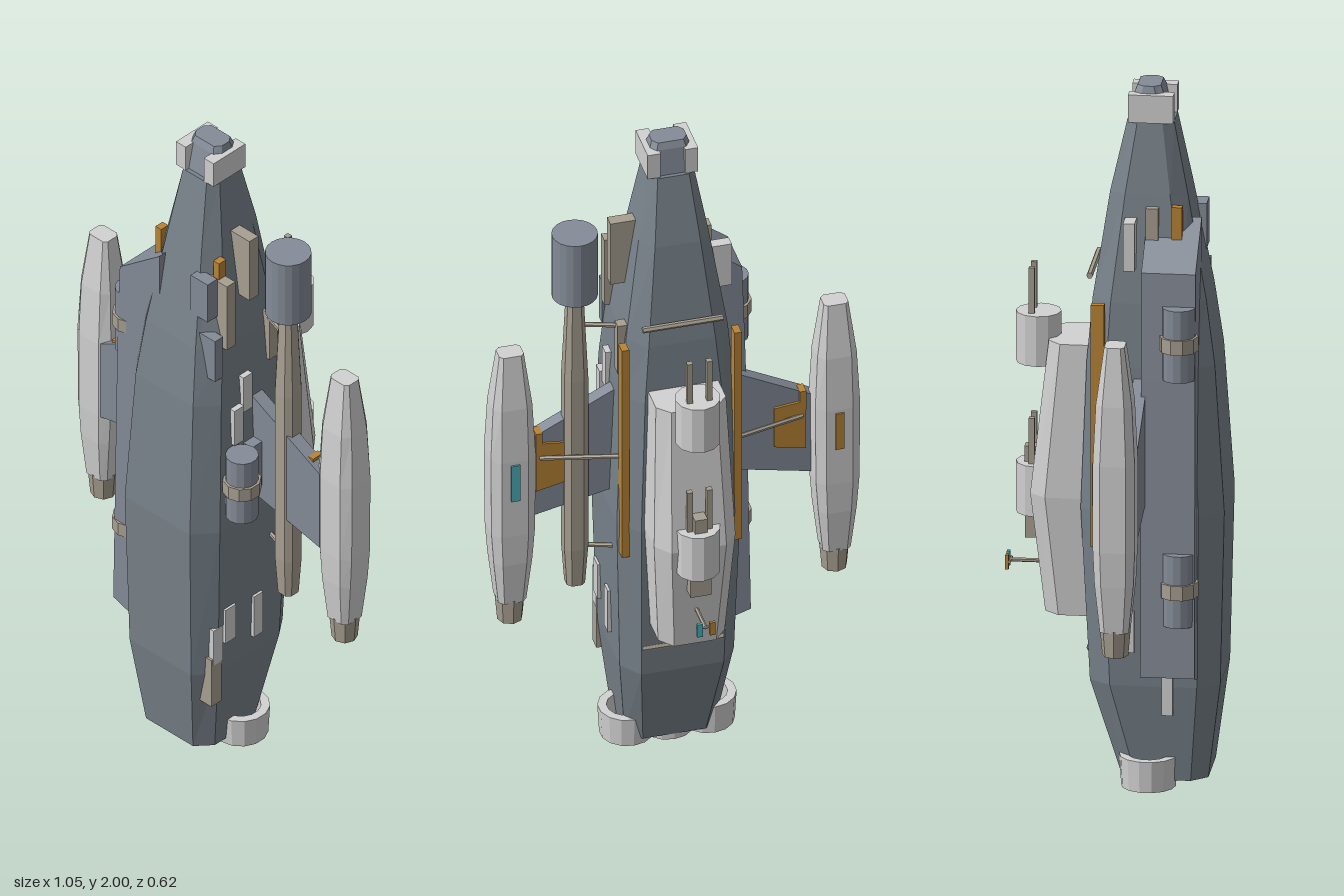
import * as THREE from 'three';

const mat = (name, color) => {
  const m = new THREE.MeshStandardMaterial({ color });
  m.name = name;
  return m;
};

export function createModel() {
  const ship = new THREE.Group();
  ship.name = 'spaceship';
  const hullGrey = mat('hull grey', 0x78828a);
  const panelGrey = mat('panel grey', 0x858c98);
  const white = mat('off white', 0xd2d2d2);
  const beige = mat('warm beige', 0xa8a092);
  const orange = mat('orange', 0xb98535);
  const teal = mat('teal', 0x4fb0bd);

  // Adds a faceted mesh
  const add = (name, geo, material, x = 0, y = 0, z = 0) => {
    const g = geo.index ? geo.toNonIndexed() : geo;
    g.computeVertexNormals();
    const mesh = new THREE.Mesh(g, material);
    mesh.name = name;
    mesh.position.set(x, y, z);
    ship.add(mesh);
    return mesh;
  };
  // Box given by its min and max on each axis
  const box = (name, m, x0, x1, y0, y1, z0, z1) =>
    add(name, new THREE.BoxGeometry(Math.abs(x1 - x0), y1 - y0, z1 - z0), m, (x0 + x1) / 2, (y0 + y1) / 2, (z0 + z1) / 2);
  const cyl = (name, m, r0, r1, y0, y1, x, z, sides = 12) =>
    add(name, new THREE.CylinderGeometry(r1, r0, y1 - y0, sides), m, x, (y0 + y1) / 2, z);
  const rod = (name, m, a, b, r) => {
    const p = new THREE.Vector3(...a), q = new THREE.Vector3(...b);
    const mesh = add(name, new THREE.CylinderGeometry(r, r, p.distanceTo(q), 6), m);
    mesh.position.copy(p).add(q).multiplyScalar(0.5);
    mesh.quaternion.setFromUnitVectors(new THREE.Vector3(0, 1, 0), q.sub(p).normalize());
  };
  // Skin between rings of [x, z] stacked along y, closed at both ends
  const loft = (ys, rings) => {
    const pos = [], n = rings[0].length;
    const put = (k, i) => pos.push(rings[k][i % n][0], ys[k], rings[k][i % n][1]);
    for (let k = 0; k < ys.length - 1; k++)
      for (let i = 0; i < n; i++) {
        put(k, i); put(k, i + 1); put(k + 1, i + 1);
        put(k, i); put(k + 1, i + 1); put(k + 1, i);
      }
    const top = ys.length - 1;
    for (let i = 1; i < n - 1; i++) {
      put(0, 0); put(0, i + 1); put(0, i);
      put(top, 0); put(top, i); put(top, i + 1);
    }
    const g = new THREE.BufferGeometry();
    g.setAttribute('position', new THREE.Float32BufferAttribute(pos, 3));
    return g;
  };
  // Chamfered rectangle: half width, flat half width, front, back, chamfer depth
  const octagon = (w, f, zf, zb, c) => [
    [w, zf - c], [w, zb + c], [f, zb], [-f, zb], [-w, zb + c], [-w, zf - c], [-f, zf], [f, zf]];
  const octLoft = rows => loft(rows.map(r => r[0]), rows.map(r => octagon(...r.slice(1))));

  // Main hull
  add('hull', octLoft([
    [0.02, 0.13, 0.09, 0.26, 0.02, 0.045],
    [0.3, 0.163, 0.118, 0.296, -0.065, 0.06],
    [0.8, 0.177, 0.125, 0.308, -0.09, 0.065],
    [1.22, 0.16, 0.11, 0.28, -0.075, 0.06],
    [1.4, 0.145, 0.095, 0.255, -0.06, 0.055],
    [1.7, 0.1, 0.065, 0.2, -0.015, 0.045],
    [1.9, 0.066, 0.045, 0.16, 0.03, 0.03]]), hullGrey);
  add('noseCap', octLoft([
    [1.89, 0.062, 0.042, 0.15, 0.04, 0.03],
    [1.98, 0.056, 0.042, 0.13, 0.05, 0.02],
    [2.0, 0.05, 0.036, 0.122, 0.058, 0.018]]), panelGrey);

  // Hollow main engines
  const ring = (name, m, r0, r1, ri, h, x, y, z, sides) =>
    add(name, new THREE.LatheGeometry([[ri, 0], [r0, 0], [r1, h], [ri, h], [ri, 0]]
      .map(p => new THREE.Vector2(...p)), sides), m, x, y, z);
  for (const x of [-0.115, 0, 0.115]) ring('mainEngine', white, 0.076, 0.081, 0.056, 0.09, x, 0, 0.097, 14);

  // Parts found on both sides
  for (const s of [-1, 1]) {
    box('noseClamp', white, s * 0.035, s * 0.072, 1.9, 1.98, 0.035, 0.16);

    const nacelle = octLoft([
      [0.56, 0.04, 0.026, 0.04, -0.04, 0.014],
      [0.7, 0.055, 0.034, 0.054, -0.054, 0.02],
      [0.8, 0.062, 0.038, 0.058, -0.058, 0.022],
      [1.05, 0.064, 0.038, 0.058, -0.058, 0.022],
      [1.22, 0.056, 0.036, 0.05, -0.05, 0.02],
      [1.385, 0.035, 0.025, 0.028, -0.028, 0.01]]);
    add('nacelle', nacelle, white, s * 0.463, 0, 0.045);
    ring('nacelleEngine', beige, 0.036, 0.043, 0.026, 0.08, s * 0.463, 0.487, 0.045, 8);
    box('nacelleLight', s > 0 ? teal : orange, s * 0.45, s * 0.475, 0.92, 1.04, -0.018, -0.01);

    // Pylon, swept on top and bottom
    const shape = new THREE.Shape([[0.1, 0.87], [0.42, 0.8], [0.42, 1.055], [0.1, 1.22]]
      .map(([x, y]) => new THREE.Vector2(s * x, y)));
    add('pylon', new THREE.ExtrudeGeometry(shape, { depth: 0.04, bevelEnabled: false }), panelGrey, 0, 0, 0.06);
    const plate = new THREE.Shape([[0.295, 0.91], [0.385, 0.89], [0.385, 1.05], [0.295, 1.04]]
      .map(([x, y]) => new THREE.Vector2(s * x, y)));
    add('pylonPlate', new THREE.ExtrudeGeometry(plate, { depth: 0.007, bevelEnabled: false }), orange, 0, 0, 0.053);
    box('pylonClip', orange, s * 0.367, s * 0.386, 1.02, 1.083, 0.053, 0.09);
    rod('pylonStrut', beige, [s * 0.15, 1.02, -0.025], [s * 0.375, 1.0, 0.055], 0.007);
    box('hullStrip', orange, s * 0.15, s * 0.171, 0.7, 1.4, -0.057, -0.02);
    box('marker', orange, s * 0.1, s * 0.122, 1.58, 1.675, 0.162, 0.19);
  }

  // Flank module on the right side
  const flank = new THREE.Shape([[-0.06, 1.63], [-0.212, 1.512], [-0.222, 1.2], [-0.237, 0.35], [-0.16, 0.325], [-0.06, 0.4]]
    .map(p => new THREE.Vector2(...p)));
  add('flankModule', new THREE.ExtrudeGeometry(flank, { depth: 0.15, bevelEnabled: false }), panelGrey, 0, 0, 0.088);

  // Small canisters with collars
  for (const [x, y] of [[-0.212, 1.21], [-0.212, 0.5], [0.212, 0.855]]) {
    cyl('canister', panelGrey, 0.046, 0.046, y, y + 0.208, x, 0.192, 14);
    cyl('canisterCollar', beige, 0.054, 0.054, y + 0.083, y + 0.125, x, 0.192, 10);
    box('canisterMount', beige, x * 0.6, x, y + 0.083, y + 0.125, 0.155, 0.19);
  }

  // Side boom with tank
  add('boom', octLoft([
    [0.555, 0.026, 0.014, 0.026, -0.026, 0.012],
    [0.68, 0.034, 0.018, 0.034, -0.034, 0.016],
    [1.25, 0.034, 0.018, 0.034, -0.034, 0.016],
    [1.53, 0.022, 0.012, 0.022, -0.022, 0.01]]), beige, 0.271, 0, 0.07);
  cyl('boomTank', panelGrey, 0.064, 0.064, 1.525, 1.732, 0.271, 0.07, 20);
  for (const y of [0.68, 1.425]) rod('boomStrut', beige, [0.12, y, 0.02], [0.26, y, 0.065], 0.007);

  // Back module
  const back = (w, f, zc, zb) => [[w, -0.06], [w, zc], [f, zb], [-f, zb], [-w, zc], [-w, -0.06]];
  add('backModule', loft([0.475, 0.82, 1.26], [
    back(0.095, 0.06, -0.155, -0.195), back(0.116, 0.078, -0.19, -0.235), back(0.1, 0.065, -0.15, -0.185)]), white);
  for (const y of [0.39, 1.467]) rod('backRail', beige, [-0.115, y, -0.066], [0.115, y, -0.066], 0.009);

  // Twin barrel turrets
  for (const y of [0.745, 1.18]) {
    cyl('turret', white, 0.063, 0.063, y, y + 0.145, 0, -0.22, 12);
    for (const x of [-0.028, 0.028]) box('turretBarrel', beige, x - 0.008, x + 0.008, y + 0.14, y + 0.277, -0.244, -0.228);
  }
  box('turretBase', beige, -0.03, 0.03, 0.675, 0.75, -0.255, -0.2);
  box('turretBlock', beige, -0.018, 0.018, 0.88, 0.935, -0.258, -0.2);

  // Rear antenna
  rod('antenna', beige, [0, 0.6, -0.19], [0, 0.6, -0.3], 0.006);
  rod('antennaBar', beige, [-0.025, 0.6, -0.298], [0.025, 0.6, -0.298], 0.004);
  box('antennaLight', orange, -0.026, -0.01, 0.578, 0.62, -0.31, -0.301);
  box('antennaLight', teal, 0.01, 0.026, 0.578, 0.62, -0.31, -0.301);

  // Hull fittings: material, x0, x1, y0, y1, z0, z1
  const fittings = [
    [beige, 0.08, 0.166, 1.53, 1.735, 0.08, 0.115], [beige, 0.08, 0.16, 1.4, 1.62, 0.165, 0.198],
    [beige, 0.1, 0.166, 0.2, 0.36, 0.225, 0.265], [beige, 0.1, 0.166, 1.28, 1.44, 0.005, 0.036],
    [panelGrey, 0.08, 0.155, 1.31, 1.45, 0.208, 0.24], [panelGrey, 0.06, 0.125, 1.5, 1.63, 0.2, 0.238],
    [white, 0.1, 0.168, 0.34, 0.46, 0.222, 0.258], [white, 0.1, 0.176, 0.4, 0.515, 0.178, 0.22],
    [white, 0.1, 0.176, 0.36, 0.5, 0.072, 0.108], [white, 0.1, 0.178, 1.07, 1.19, 0.15, 0.186],
    [white, 0.1, 0.172, 1.16, 1.28, 0.11, 0.145], [panelGrey, 0.12, 0.2, 0.9, 1.05, 0.1, 0.14],
    [white, -0.08, -0.167, 1.5, 1.638, 0.032, 0.064], [white, -0.1, -0.172, 0.22, 0.36, 0.14, 0.17],
    [white, -0.1, -0.176, 0.4, 0.52, 0.03, 0.064], [beige, -0.06, -0.125, 1.56, 1.67, 0.09, 0.125],
    [white, -0.1, -0.178, 1.1, 1.22, 0.0, 0.03]];
  for (const [m, ...b] of fittings) box('hullFitting', m, ...b);

  return ship;
}
